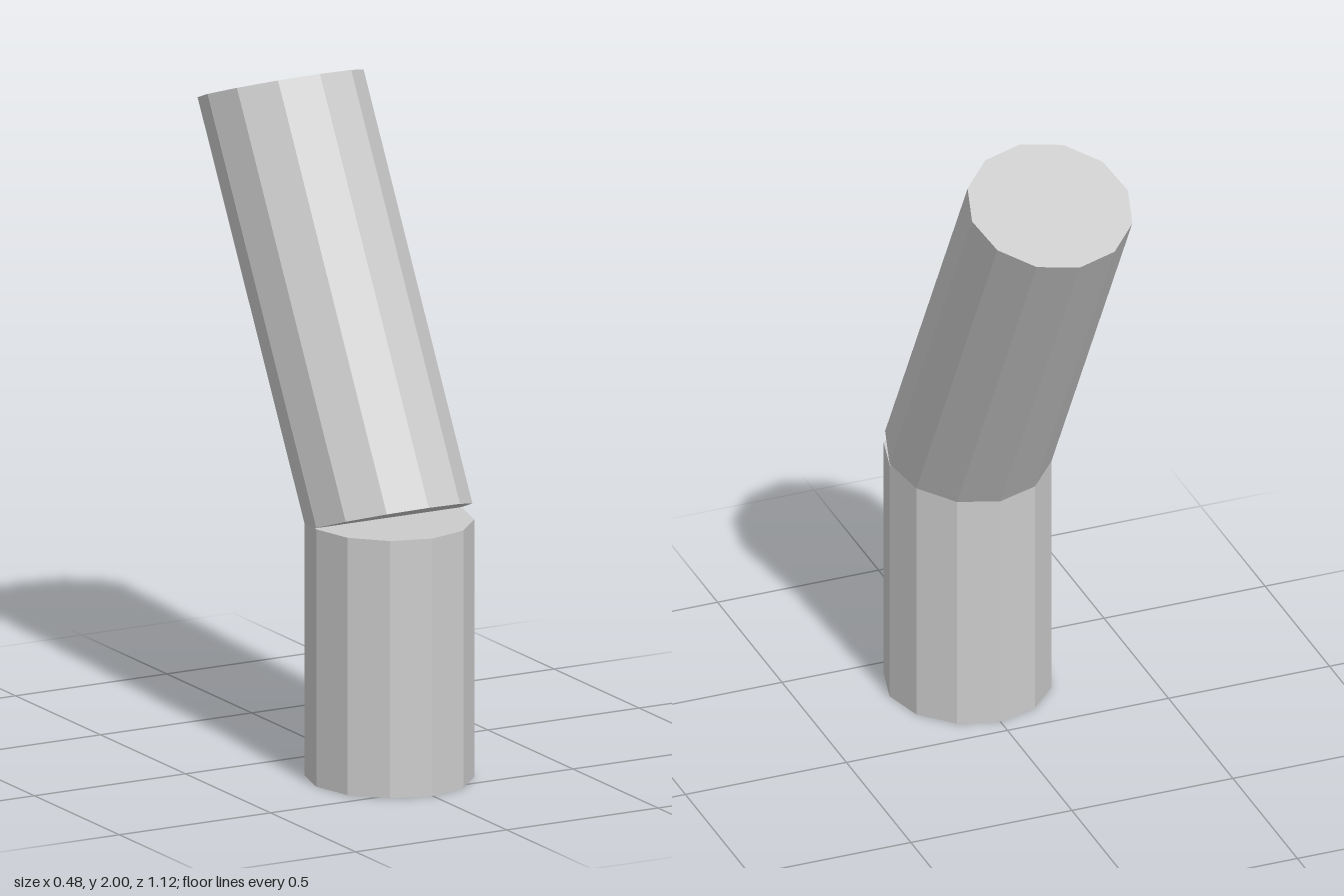
import * as THREE from 'three';

const V = (x, y, z) => new THREE.Vector3(x, y, z);

// Twelve-sided closed tube: base centre, length vector, and the cap's side and front radius vectors
function tube(name, base, axis, side, front, material) {
  const geometry = new THREE.CylinderGeometry(1, 1, 1, 12);
  geometry.translate(0, 0.5, 0);
  geometry.applyMatrix4(new THREE.Matrix4().makeBasis(side, axis, front).setPosition(base));
  geometry.computeVertexNormals();
  const mesh = new THREE.Mesh(geometry, material);
  mesh.name = name;
  return mesh;
}

export function createModel() {
  const group = new THREE.Group();
  group.name = 'bentPipe';
  const material = new THREE.MeshStandardMaterial({ color: 0xcccccc, flatShading: true });
  const side = V(0.242, 0, 0);

  // Upright lower section
  group.add(tube('lowerPipe', V(0, 0, 0.31), V(0, 0.768, 0), side, V(0, 0, 0.254), material));

  // Upper section leaning back, with slightly skewed end caps
  group.add(tube('upperPipe', V(0, 0.772, 0.31), V(0, 1.146, -0.64), side, V(0, 0.082, 0.231), material));

  return group;
}
